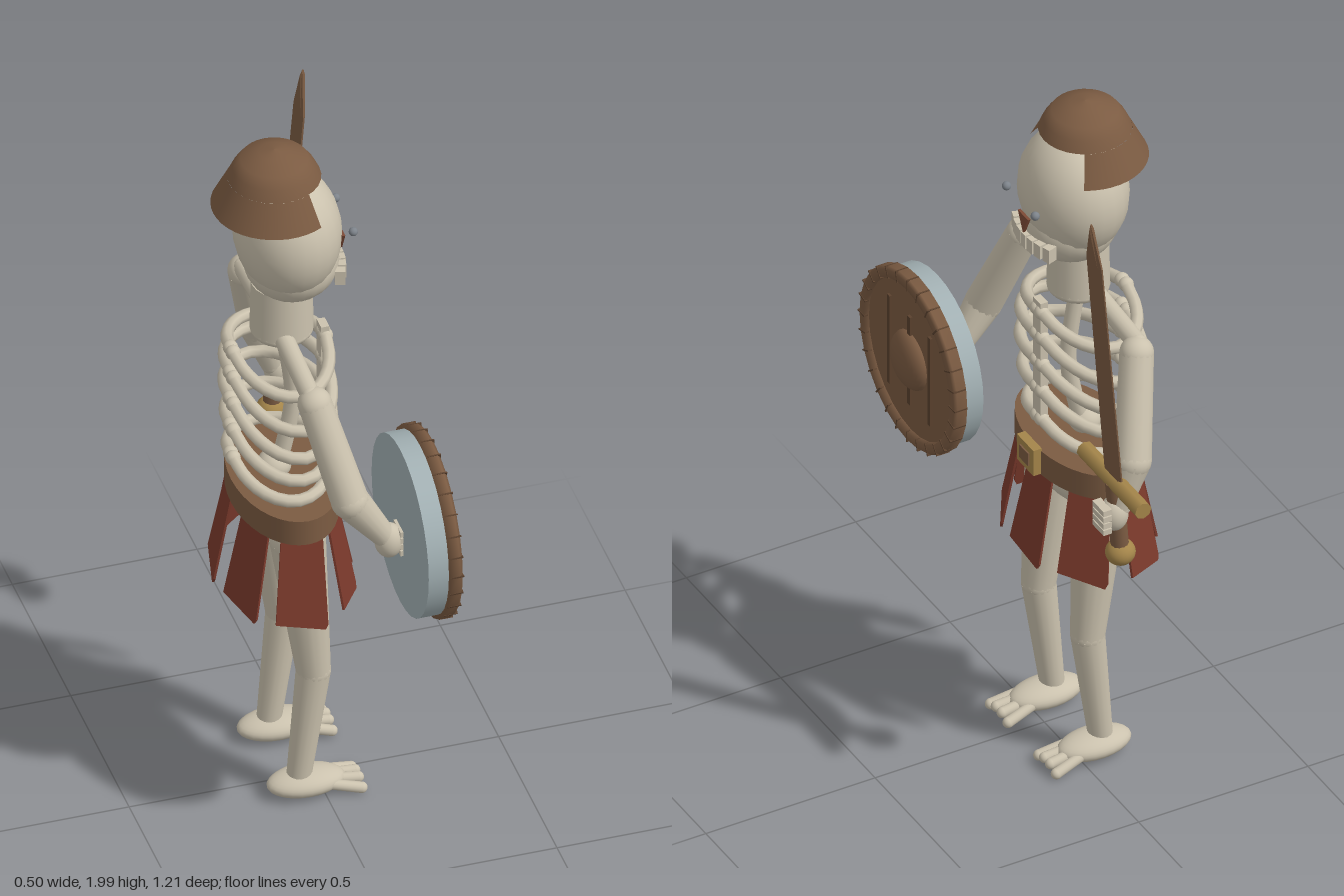
import * as THREE from 'three';

const mat = (name, color, side = THREE.FrontSide) => {
  const m = new THREE.MeshStandardMaterial({ color, side });
  m.name = name;
  return m;
};
const V = (x, y, z) => new THREE.Vector3(x, y, z);

export function createModel() {
  const bone = mat('bone', 0xcbc2ae);
  const brown = mat('leatherBrown', 0x7b5b42, THREE.DoubleSide);
  const darkBrown = mat('darkWood', 0x5a412e);
  const gold = mat('brass', 0xa4854a);
  const red = mat('redCloth', 0x7c3a2c, THREE.DoubleSide);
  const steel = mat('steel', 0xa3b1b4);
  const eyeGrey = mat('eyeGrey', 0x7d838a);
  const rust = mat('noseRust', 0x7e4a36, THREE.DoubleSide);

  // The figure faces +x
  const model = new THREE.Group();
  model.name = 'skeletonWarrior';
  const body = new THREE.Group();
  body.name = 'body';
  body.position.z = -0.055;
  model.add(body);

  const add = (name, geo, material, x = 0, y = 0, z = 0, parent = body) => {
    const m = new THREE.Mesh(geo, material);
    m.name = name;
    m.position.set(x, y, z);
    parent.add(m);
    return m;
  };
  const ball = (name, material, x, y, z, rx, ry = rx, rz = rx, parent = body) => {
    const m = add(name, new THREE.SphereGeometry(1, 24, 16), material, x, y, z, parent);
    m.scale.set(rx, ry, rz);
    return m;
  };
  // Tapered bone between two points, with rounded ends
  const limb = (name, a, b, ra, rb, parent = body) => {
    const d = b.clone().sub(a);
    const mid = a.clone().add(b).multiplyScalar(0.5);
    const m = add(name, new THREE.CylinderGeometry(rb, ra, d.length(), 16), bone, mid.x, mid.y, mid.z, parent);
    m.quaternion.setFromUnitVectors(V(0, 1, 0), d.normalize());
    ball(name + 'Start', bone, a.x, a.y, a.z, ra, ra, ra, parent);
    ball(name + 'End', bone, b.x, b.y, b.z, rb, rb, rb, parent);
  };

  // Head
  ball('cranium', bone, -0.055, 1.735, 0, 0.14, 0.18, 0.165);
  ball('jaw', bone, -0.045, 1.64, 0, 0.125, 0.108, 0.13);
  add('neck', new THREE.CylinderGeometry(0.08, 0.083, 0.15, 20), bone, -0.07, 1.5, 0);
  ball('neckBase', bone, -0.07, 1.425, 0, 0.083, 0.035, 0.083);
  for (let i = -3; i <= 3; i++) {
    const t = add('tooth', new THREE.BoxGeometry(0.028, 0.042, 0.024), bone, 0.08 - 0.002 * i * i, 1.617, i * 0.028);
    t.rotation.y = -i * 0.1;
  }
  for (const s of [1, -1]) ball('eye', eyeGrey, 0.1, 1.745, s * 0.076, 0.012);
  const noseShape = new THREE.Shape([[-0.027, 0.028], [0, -0.028], [0.027, 0.028]].map(p => new THREE.Vector2(...p)));
  const nose = add('nose', new THREE.ExtrudeGeometry(noseShape, { depth: 0.008, bevelEnabled: false }), rust, 0.086, 1.67, 0);
  nose.rotation.y = Math.PI / 2;

  // Helmet: full crown and a skirt open at the face
  const lathe = (pts, ...arc) => new THREE.LatheGeometry(pts.map(p => new THREE.Vector2(...p)), 28, ...arc);
  add('helmetCrown', lathe([[0.122, 1.915], [0.108, 1.945], [0.088, 1.972], [0.04, 1.993], [0, 2]]), brown, -0.09);
  add('helmetSkirt', lathe([[0.165, 1.83], [0.122, 1.915]], Math.PI * 5 / 6, Math.PI * 4 / 3), brown, -0.09);

  // Rib cage: height, half width
  add('sternum', new THREE.BoxGeometry(0.022, 0.39, 0.04), bone, 0.042, 1.215, 0);
  const ribs = [[1.38, 0.19], [1.3, 0.235], [1.215, 0.24], [1.13, 0.22], [1.04, 0.185]];
  for (const [y, w] of ribs) for (const s of [1, -1]) {
    const pts = [];
    for (let i = 0; i <= 8; i++) {
      const a = 0.06 + (Math.PI - 0.12) * i / 8, k = Math.sin(a);
      pts.push(V(-0.08 + 0.125 * Math.cos(a), y - 0.045 * k, s * w * k));
    }
    add('rib', new THREE.TubeGeometry(new THREE.CatmullRomCurve3(pts), 16, 0.017, 8), bone);
    for (const p of [pts[0], pts[8]]) ball('ribEnd', bone, p.x, p.y, p.z, 0.02);
  }
  const spine = new THREE.CatmullRomCurve3([V(-0.09, 0.94, 0), V(-0.06, 1.06, 0), V(-0.04, 1.2, 0), V(-0.07, 1.43, 0)]);
  add('spine', new THREE.TubeGeometry(spine, 16, 0.022, 10), bone);
  ball('lumbarVertebra', bone, -0.09, 0.985, 0, 0.045, 0.04, 0.045);
  ball('pelvis', bone, -0.07, 0.85, 0, 0.1, 0.09, 0.17);

  for (const s of [1, -1]) {
    // Arms
    const handX = s > 0 ? 0.095 : 0.045;
    limb('collarBone', V(-0.083, 1.435, 0), V(-0.083, 1.41, s * 0.29), 0.026, 0.026);
    limb('upperArm', V(-0.075, 1.39, s * 0.3), V(-0.01, 1.13, s * 0.395), 0.045, 0.05);
    limb('forearm', V(-0.01, 1.13, s * 0.395), V(handX - 0.015, 1.0, s * 0.395), 0.05, 0.032);
    ball('hand', bone, handX, 0.98, s * 0.395, 0.038, 0.05, 0.038);
    for (let i = 0; i < 4; i++)
      add('finger', new THREE.BoxGeometry(0.025, 0.016, 0.06), bone, handX + 0.035, 0.95 + i * 0.02, s * 0.395);

    // Legs and feet
    limb('thigh', V(-0.065, 0.83, s * 0.12), V(-0.025, 0.4, s * 0.13), 0.075, 0.046);
    limb('shin', V(-0.025, 0.4, s * 0.13), V(-0.063, 0.07, s * 0.128), 0.046, 0.033);
    ball('foot', bone, -0.045, 0.044, s * 0.128, 0.105, 0.036, 0.06);
    for (let i = 0; i < 4; i++) {
      const z = s * 0.128 + (i - 1.5) * 0.031;
      limb('toe', V(0, 0.045, s * 0.128 + (i - 1.5) * 0.022), V(0.092, 0.022 + (i % 3 ? 0.012 : 0), z), 0.014, 0.015);
    }
  }

  // Belt and buckle
  const belt = add('belt', new THREE.CylinderGeometry(1, 1, 0.075, 36), brown, -0.07, 0.922, 0);
  belt.scale.set(0.137, 1, 0.232);
  add('buckle', new THREE.BoxGeometry(0.025, 0.08, 0.088), gold, 0.075, 0.928, 0);
  add('bucklePlate', new THREE.BoxGeometry(0.006, 0.04, 0.046), brown, 0.089, 0.928, 0);

  // Seven flared cloth strips around the hips
  const strip = new THREE.Shape([[-0.055, 0], [-0.075, -0.245], [0.055, -0.27], [0.062, -0.255], [0.055, 0]]
    .map(p => new THREE.Vector2(...p)));
  const stripGeo = new THREE.ExtrudeGeometry(strip, { depth: 0.006, bevelEnabled: false });
  for (let i = 0; i < 7; i++) {
    const a = -0.14 + i * Math.PI * 2 / 7;
    const m = add('skirtStrip', stripGeo, red, -0.07 + 0.125 * Math.cos(a), 0.89, 0.205 * Math.sin(a));
    m.rotation.set(-0.18, Math.atan2(Math.cos(a) / 0.13, Math.sin(a) / 0.22), 0, 'YXZ');
  }

  // Sword, leaning slightly forward
  const sword = new THREE.Group();
  sword.name = 'sword';
  sword.position.set(0.045, 1.085, -0.395);
  sword.rotation.z = -0.08;
  body.add(sword);
  const section = [[-0.045, 0], [-0.04, 0.72], [0, 0.845], [0.04, 0.72], [0.045, 0]];
  const blade = new THREE.Shape(section.map(p => new THREE.Vector2(...p)));
  const bladeMesh = add('blade', new THREE.ExtrudeGeometry(blade,
    { depth: 0.004, bevelEnabled: true, bevelThickness: 0.005, bevelSize: 0.012, bevelOffset: -0.012, bevelSegments: 1 }),
  brown, -0.002, 0, 0, sword);
  bladeMesh.rotation.y = Math.PI / 2;
  const guard = add('guard', new THREE.CylinderGeometry(0.024, 0.024, 0.31, 8), gold, 0, 0, 0, sword);
  guard.rotation.x = Math.PI / 2;
  add('grip', new THREE.CylinderGeometry(0.024, 0.024, 0.21, 12), brown, 0, -0.11, 0, sword);
  ball('pommel', gold, 0, -0.235, 0, 0.04, 0.036, 0.04, sword);

  // Round shield; its axis points forward
  const shield = new THREE.Group();
  shield.name = 'shield';
  shield.position.set(0, 1.02, 0.397);
  shield.rotation.z = -Math.PI / 2;
  body.add(shield);
  add('shieldBody', new THREE.CylinderGeometry(0.245, 0.245, 0.065, 32), steel, 0, 0.158, 0, shield);
  add('shieldFace', new THREE.CylinderGeometry(0.235, 0.235, 0.016, 32), brown, 0, 0.195, 0, shield);
  add('shieldRim', lathe([[0.222, 0.18], [0.257, 0.18], [0.257, 0.208], [0.25, 0.216], [0.228, 0.216], [0.222, 0.2]]),
    brown, 0, 0, 0, shield);
  for (let i = 0; i < 28; i++) {
    const a = i * Math.PI / 14;
    const notch = add('rimSeam', new THREE.BoxGeometry(0.034, 0.037, 0.004), darkBrown,
      0.241 * Math.cos(a), 0.199, 0.241 * Math.sin(a), shield);
    notch.rotation.y = -a;
  }
  for (const z of [-0.108, 0, 0.108])
    add('shieldGroove', new THREE.BoxGeometry(0.28, 0.009, 0.014), darkBrown, 0, 0.206, z, shield);
  ball('shieldBoss', brown, 0, 0.203, 0, 0.084, 0.042, 0.084, shield);

  return model;
}
